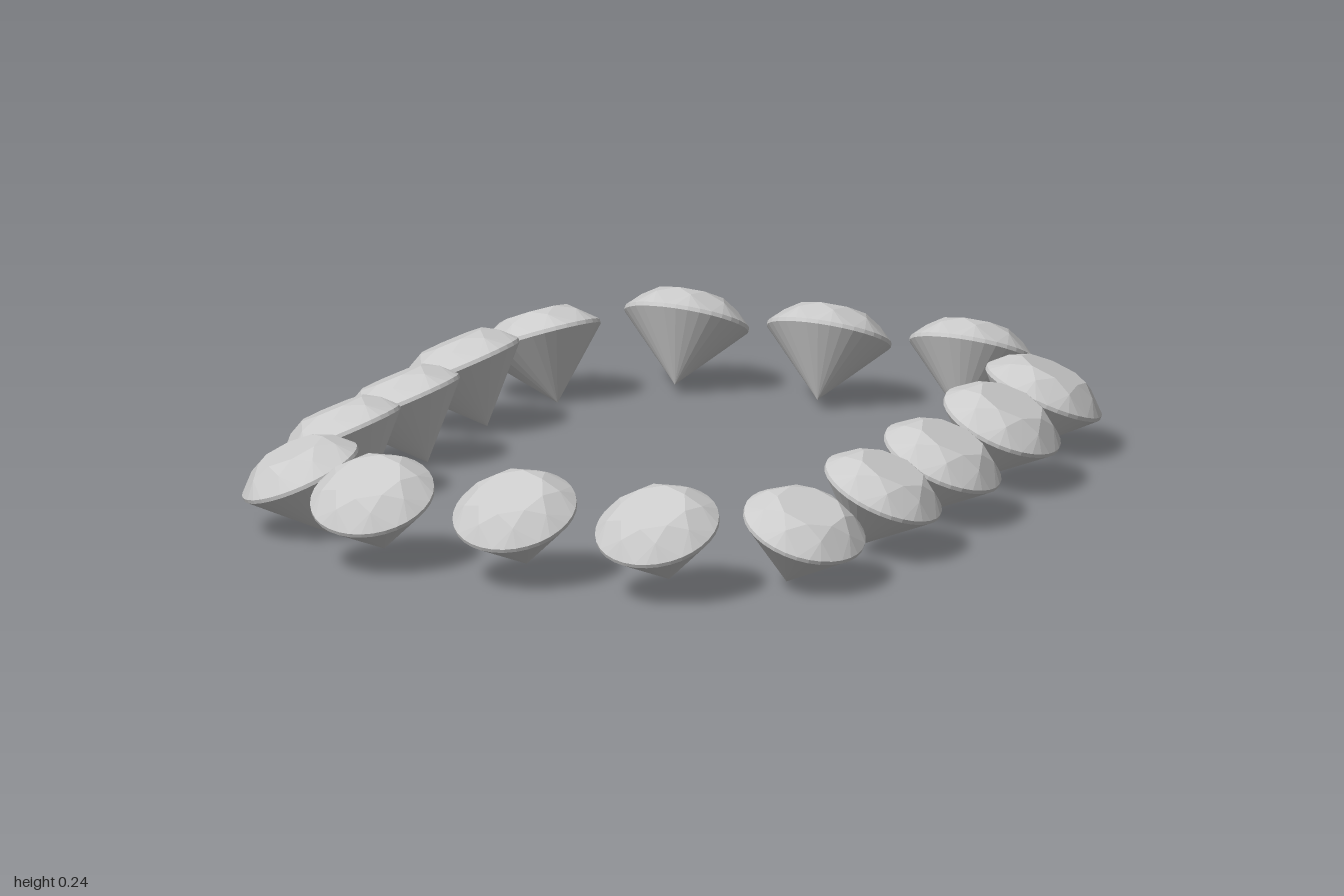
import * as THREE from 'three';

const R = 0.14;        // girdle radius
const SIDES = 32;      // girdle segments

// Round brilliant-cut gem, girdle centred on the origin, table facing +y
function gemGeometry() {
  const ring = (n, r, y, offset = 0) => Array.from({ length: n }, (_, i) => {
    const a = ((i + offset) / n) * Math.PI * 2;
    return new THREE.Vector3(r * Math.sin(a), y, r * Math.cos(a));
  });
  const table = ring(8, 0.078, 0.056);
  const mid = ring(8, 0.108, 0.038, 0.5);
  const top = ring(SIDES, R, 0.005);
  const low = ring(SIDES, R, -0.004);
  const centre = new THREE.Vector3(0, 0.056, 0);
  const culet = new THREE.Vector3(0, -0.15, 0);
  const pos = [];
  const tri = (...corners) => corners.forEach((p) => pos.push(p.x, p.y, p.z));
  const step = SIDES / 8;

  // Crown: table, star facets, kites and upper girdle facets
  for (let i = 0; i < 8; i++) {
    const j = (i + 1) % 8;
    const g0 = top[i * step], g1 = top[j * step];
    tri(centre, table[i], table[j]);
    tri(table[i], mid[i], table[j]);
    tri(table[i], g0, mid[i]);
    tri(table[j], mid[i], g1);
    for (let k = 0; k < step; k++) {
      tri(mid[i], top[i * step + k], top[(i * step + k + 1) % SIDES]);
    }
  }
  // Girdle band and pavilion
  for (let i = 0; i < SIDES; i++) {
    const j = (i + 1) % SIDES;
    tri(top[i], low[i], low[j]);
    tri(top[i], low[j], top[j]);
    tri(culet, low[j], low[i]);
  }
  const geometry = new THREE.BufferGeometry();
  geometry.setAttribute('position', new THREE.Float32BufferAttribute(pos, 3));
  geometry.computeVertexNormals();
  return geometry;
}

export function createModel() {
  const model = new THREE.Group();
  model.name = 'gemRing';
  const geometry = gemGeometry();
  const material = new THREE.MeshStandardMaterial({ color: 0xcccccc, flatShading: true });

  // One quarter of the ring: x, y, z, outward heading from +z and tilt, in degrees
  const quarter = [
    ['endGem', 0, 0.16, 0.872, 0, 26],
    ['endSideGem', 0.345, 0.16, 0.872, 0, 26],
    ['cornerGem', 0.61, 0.139, 0.664, 64, 24],
    ['sideGem', 0.655, 0.152, 0.33, 90, 25],
    ['middleSideGem', 0.655, 0.146, 0, 90, 25],
  ];
  const rad = THREE.MathUtils.degToRad;

  // Mirror every gem across x and z, skipping duplicates on the axes
  for (const [name, x, y, z, heading, tilt] of quarter) {
    for (const sx of x ? [1, -1] : [1]) {
      for (const sz of z ? [1, -1] : [1]) {
        const gem = new THREE.Mesh(geometry, material);
        gem.name = name;
        gem.position.set(x * sx, y, z * sz);
        const h = rad(heading);
        gem.rotation.set(rad(tilt), Math.atan2(Math.sin(h) * sx, Math.cos(h) * sz), 0, 'YXZ');
        model.add(gem);
      }
    }
  }
  return model;
}
